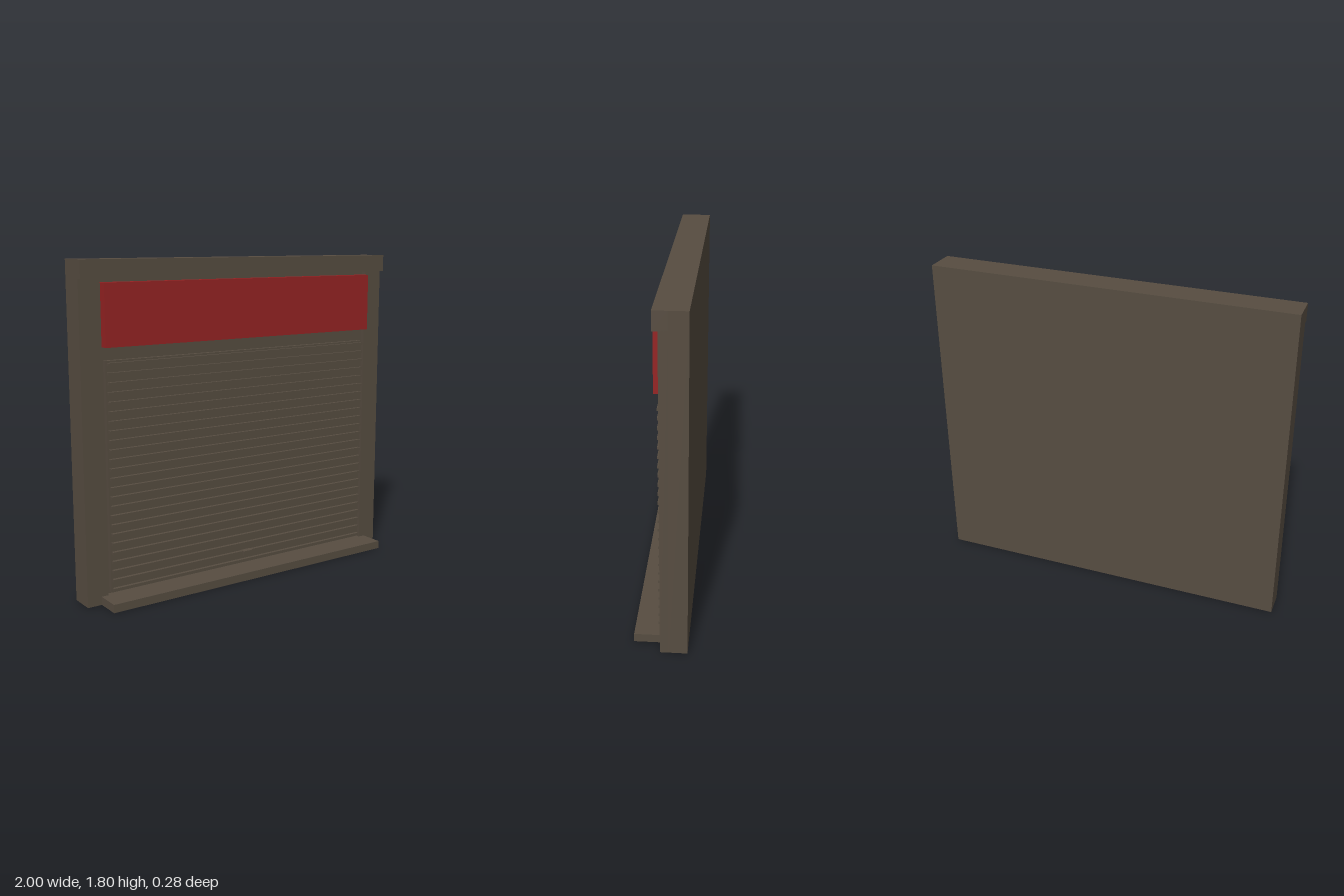
import * as THREE from 'three';

export function createModel() {
  const model = new THREE.Group();
  model.name = 'rollerShutter';

  const brown = new THREE.MeshStandardMaterial({ color: 0x574d41 });
  brown.name = 'dark brown metal';
  const red = new THREE.MeshStandardMaterial({ color: 0x962323 });
  red.name = 'red panel';

  // Box given by its limits on each axis
  function addBox(name, [x0, x1], [y0, y1], [z0, z1], material = brown, parent = model) {
    const mesh = new THREE.Mesh(new THREE.BoxGeometry(x1 - x0, y1 - y0, z1 - z0), material);
    mesh.position.set((x0 + x1) / 2, (y0 + y1) / 2, (z0 + z1) / 2);
    mesh.name = name;
    parent.add(mesh);
    return mesh;
  }

  // Wall slab behind everything
  addBox('backWall', [-1, 1], [0, 1.8], [-0.14, -0.045]);

  // Frame: two posts, lintel and projecting sill
  addBox('leftPost', [0.88, 1], [0, 1.71], [-0.045, 0]);
  addBox('rightPost', [-1, -0.88], [0, 1.71], [-0.045, 0]);
  addBox('lintel', [-1, 1], [1.705, 1.8], [-0.045, 0.028]);
  addBox('sill', [-0.92, 0.92], [0, 0.045], [-0.045, 0.14]);

  // Recessed opening and the sign board over it
  addBox('openingPanel', [-0.88, 0.88], [0.045, 1.705], [-0.045, -0.025]);
  addBox('signBoard', [-0.875, 0.875], [1.36, 1.685], [-0.025, 0.035], red);

  // Shutter curtain with evenly spaced ribs
  const shutter = new THREE.Group();
  shutter.name = 'shutter';
  model.add(shutter);
  addBox('curtain', [-0.862, 0.862], [0.055, 1.29], [-0.025, 0.001], brown, shutter);
  const ribs = 25;
  for (let i = 0; i < ribs; i++) {
    const y = 0.073 + (i * 1.2) / (ribs - 1);
    addBox('rib', [-0.855, 0.855], [y - 0.007, y + 0.007], [0, 0.02], brown, shutter);
  }

  // Pull handle: a stem with a downturned lip
  const handle = new THREE.Group();
  handle.name = 'handle';
  model.add(handle);
  addBox('handleStem', [-0.03, 0.03], [0.118, 0.132], [0, 0.035], brown, handle);
  addBox('handleLip', [-0.03, 0.03], [0.103, 0.118], [0.024, 0.035], brown, handle);

  return model;
}
